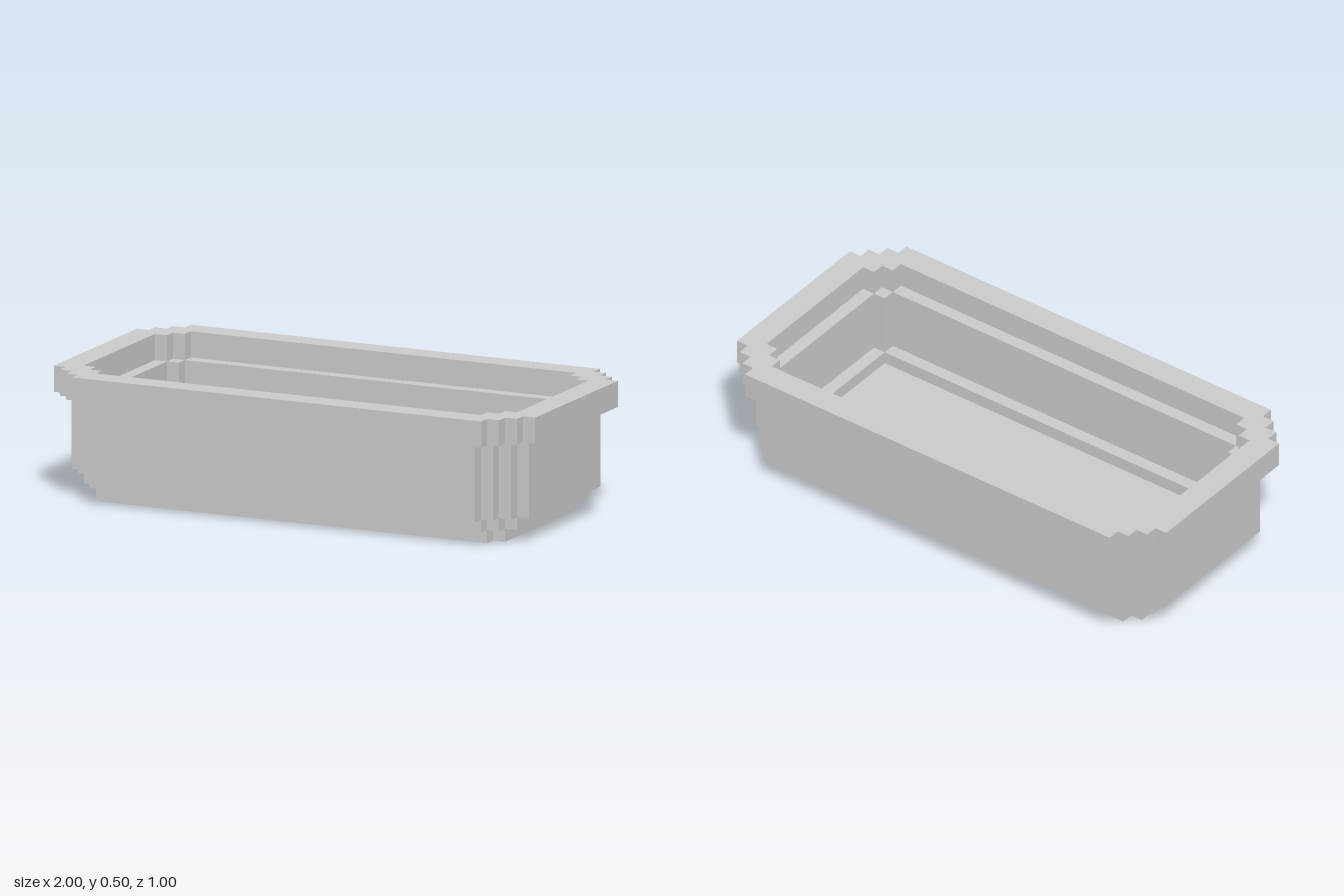
import * as THREE from 'three';

const STEP = 0.05;

// Rectangle outline whose four corners are cut back in a staircase.
function steppedOutline(halfX, halfZ, steps) {
  const corner = [];
  for (let i = 0; i <= steps; i++) {
    const x = halfX - i * STEP;
    const z = halfZ - (steps - i) * STEP;
    if (i > 0) corner.push([x, z - STEP]);
    corner.push([x, z]);
  }
  const flipped = [...corner].reverse();
  return [
    ...corner,
    ...flipped.map(([x, z]) => [-x, z]),
    ...corner.map(([x, z]) => [-x, -z]),
    ...flipped.map(([x, z]) => [x, -z]),
  ].map(([x, z]) => new THREE.Vector2(x, z));
}

export function createModel() {
  const group = new THREE.Group();
  group.name = 'basin';
  const material = new THREE.MeshStandardMaterial({ color: 0xcccccc, flatShading: true });

  // One horizontal layer; outer and inner are [halfX, halfZ, corner steps].
  function addLayer(name, bottom, top, outer, inner) {
    const shape = new THREE.Shape(steppedOutline(...outer));
    if (inner) shape.holes.push(new THREE.Path(steppedOutline(...inner)));
    const geometry = new THREE.ExtrudeGeometry(shape, { depth: top - bottom, bevelEnabled: false });
    geometry.rotateX(-Math.PI / 2);
    const mesh = new THREE.Mesh(geometry, material);
    mesh.name = name;
    mesh.position.y = bottom;
    group.add(mesh);
  }

  // Solid base in two steps
  addLayer('base', 0, 0.05, [0.85, 0.35, 1]);
  addLayer('floor', 0.05, 0.1, [0.9, 0.4, 2]);

  // Hollow body with a low ledge around the floor
  addLayer('innerLedge', 0.1, 0.15, [0.85, 0.35, 0], [0.8, 0.3, 0]);
  addLayer('walls', 0.1, 0.4, [0.95, 0.45, 3], [0.85, 0.35, 1]);
  addLayer('rim', 0.4, 0.5, [1, 0.5, 3], [0.9, 0.4, 2]);

  return group;
}
